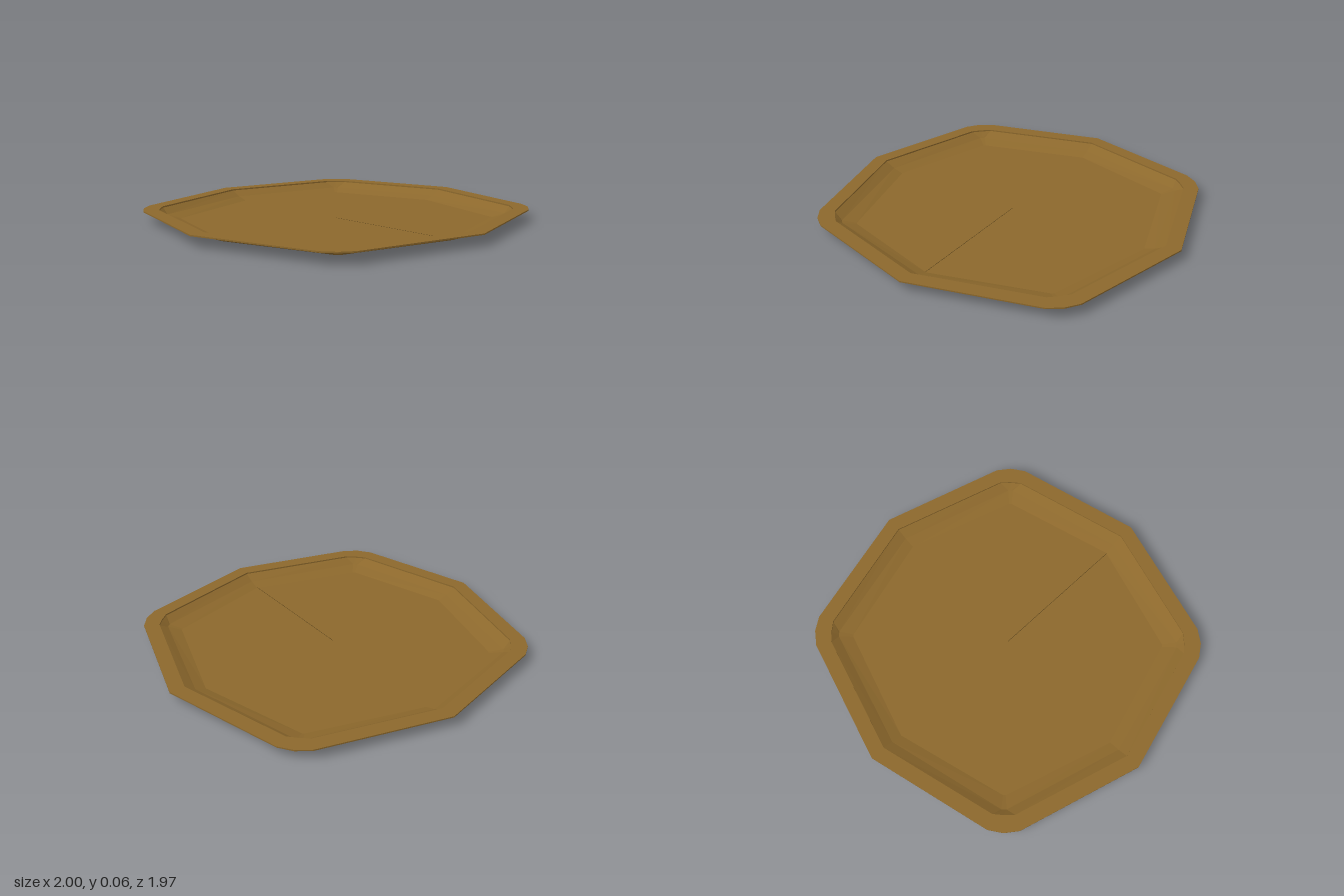
import * as THREE from 'three';

// One closed ring: s = reach at the side points, (a, b) = points beside each corner, m = corner middle
function ring(s, a, b, m, y) {
  const pts = [];
  for (let q = 0; q < 4; q++) {
    const c = Math.round(Math.cos(q * Math.PI / 2));
    const n = Math.round(Math.sin(q * Math.PI / 2));
    for (const [x, z] of [[s, 0], [a, b], [m, m], [b, a]]) {
      // opposite sides are a touch narrower front to back
      pts.push([x * c - z * n, y, (x * n + z * c) * 0.985]);
    }
  }
  return pts;
}

// Skin between consecutive rings, flat shaded
function loft(rings) {
  const pos = [];
  for (let r = 0; r < rings.length - 1; r++) {
    const A = rings[r], B = rings[r + 1], n = A.length;
    for (let i = 0; i < n; i++) {
      const j = (i + 1) % n;
      pos.push(...A[i], ...B[j], ...B[i], ...A[i], ...A[j], ...B[j]);
    }
  }
  const g = new THREE.BufferGeometry();
  g.setAttribute('position', new THREE.Float32BufferAttribute(pos, 3));
  g.computeVertexNormals();
  return g;
}

export function createModel() {
  const group = new THREE.Group();
  group.name = 'tray';
  const wood = new THREE.MeshStandardMaterial({ color: 0x8c682c, flatShading: true });
  const add = (name, rings) => {
    const mesh = new THREE.Mesh(loft(rings), wood);
    mesh.name = name;
    group.add(mesh);
  };

  // Shared outlines, from the floor outwards
  const floor = y => ring(0.80, 0.62, 0.61, 0.615, y);
  const slope = y => ring(0.86, 0.68, 0.66, 0.67, y);
  const lip = y => ring(0.917, 0.735, 0.65, 0.695, y);
  const edge = y => ring(1.0, 0.81, 0.69, 0.76, y);
  const centre = y => ring(0, 0, 0, 0, y);

  add('floorTop', [centre(0.006), floor(0.006)]);
  add('wallInside', [floor(0.006), slope(0.026), lip(0.056)]);
  add('rim', [lip(0.056), lip(0.064), edge(0.064), edge(0.057), lip(0.055)]);
  add('wallOutside', [lip(0.055), slope(0.02), floor(0)]);
  add('floorUnderside', [floor(0), centre(0)]);

  // Hairline seam from the centre to the front wall
  const seam = new THREE.Mesh(
    new THREE.BoxGeometry(0.002, 0.002, 0.79),
    new THREE.MeshStandardMaterial({ color: 0x4a3614 })
  );
  seam.name = 'floorSeam';
  seam.position.set(-0.005, 0.0055, 0.395);
  group.add(seam);
  return group;
}
